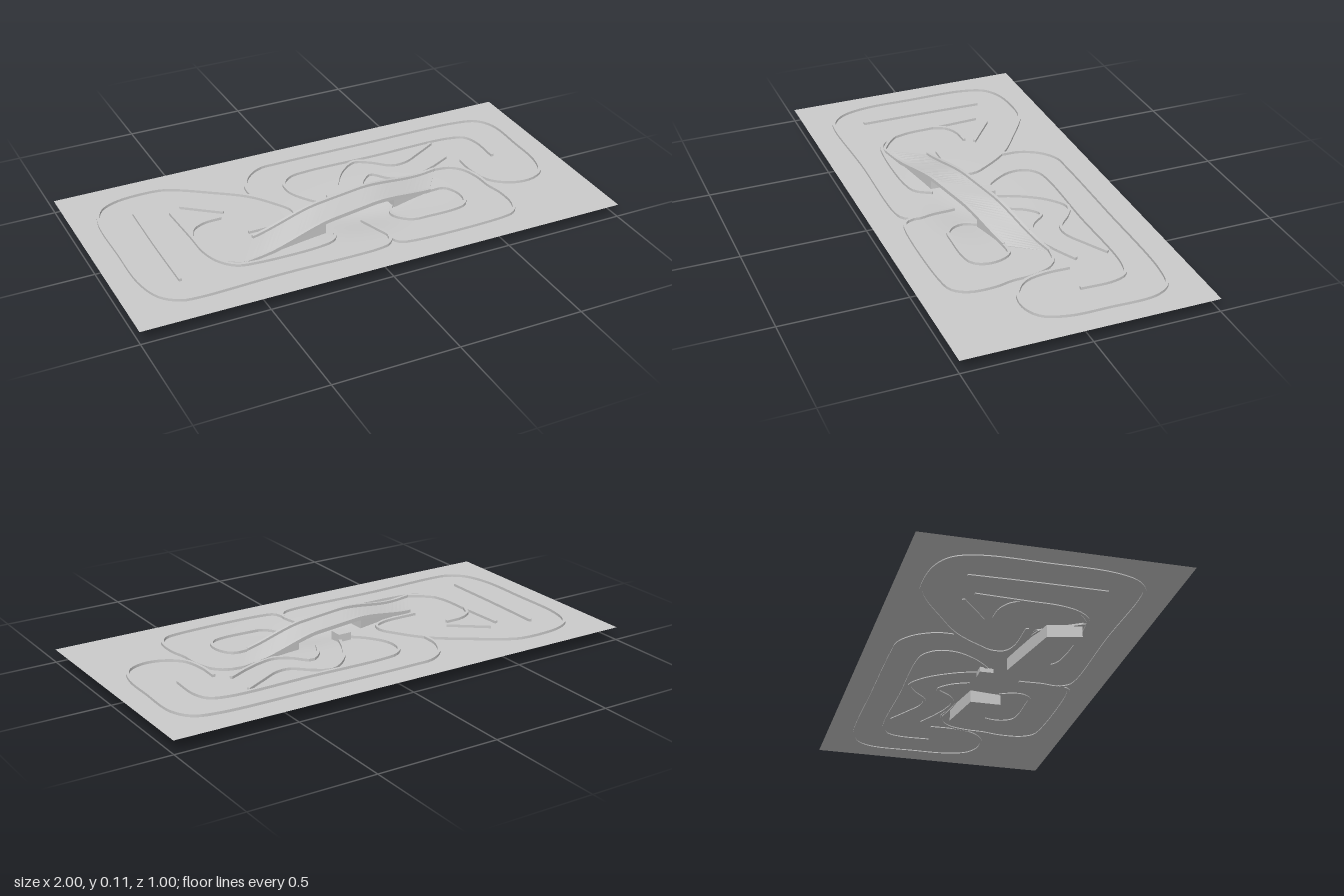
import * as THREE from 'three';

const GROUND = 0.053;
const mat = new THREE.MeshStandardMaterial({ color: 0xcccccc, flatShading: true, side: THREE.DoubleSide });

const smooth = (t) => { t = Math.min(1, Math.max(0, t)); return t * t * (3 - 2 * t); };
// Ground with a shallow hollow where the track dives under the bridge
const groundY = (x, z) => GROUND - 0.016 * Math.exp(-(((x - 0.07) / 0.17) ** 2) - ((z - 0.12) / 0.11) ** 2);
// Arched bridge deck
const deckY = (x) => GROUND + 0.044 * smooth((0.43 - Math.abs(x)) / 0.34);

// Closed solid through four-cornered rings: left-low, right-low, right-high, left-high
function loft(rings) {
  const pos = rings.flat(2), idx = [], n = rings.length;
  for (let i = 0; i < n - 1; i++) {
    for (let j = 0; j < 4; j++) {
      const a = i * 4 + j, b = i * 4 + (j + 1) % 4;
      idx.push(a, a + 4, b + 4, a, b + 4, b);
    }
  }
  const e = (n - 1) * 4;
  idx.push(0, 1, 2, 0, 2, 3, e, e + 2, e + 1, e, e + 3, e + 2);
  const g = new THREE.BufferGeometry();
  g.setAttribute('position', new THREE.Float32BufferAttribute(pos, 3));
  g.setIndex(idx);
  g.computeVertexNormals();
  return g;
}

// Low kerb following a plan path [x, z] over a height rule
function kerbGeometry(points, heightAt) {
  const curve = new THREE.CatmullRomCurve3(points.map(([x, z]) => new THREE.Vector3(x, 0, z)), false, 'centripetal');
  const n = Math.max(4, Math.round(curve.getLength() / 0.02)), w = 0.006;
  const rings = [];
  for (let i = 0; i <= n; i++) {
    const p = curve.getPointAt(i / n), t = curve.getTangentAt(i / n);
    const sx = -t.z * w, sz = t.x * w, y = heightAt(p.x, p.z);
    rings.push([
      [p.x - sx, y - 0.004, p.z - sz], [p.x + sx, y - 0.004, p.z + sz],
      [p.x + sx, y + 0.011, p.z + sz], [p.x - sx, y + 0.011, p.z - sz],
    ]);
  }
  return loft(rings);
}

const groundKerbs = {
  outerLeftKerb: [[-0.4, 0.06], [-0.24, 0.055], [-0.19, 0.03], [-0.18, -0.02], [-0.21, -0.08], [-0.29, -0.19],
    [-0.42, -0.29], [-0.54, -0.37], [-0.6, -0.393], [-0.78, -0.385], [-0.86, -0.34], [-0.895, -0.25], [-0.9, 0],
    [-0.895, 0.22], [-0.86, 0.33], [-0.8, 0.38], [-0.74, 0.39], [-0.4, 0.38], [0, 0.38], [0.05, 0.365],
    [0.075, 0.32], [0.06, 0.25], [0.04, 0.15]],
  outerRightKerb: [[-0.28, -0.18], [-0.275, -0.26], [-0.23, -0.34], [-0.16, -0.385], [-0.08, -0.39], [0.3, -0.39],
    [0.76, -0.385], [0.85, -0.36], [0.895, -0.29], [0.9, -0.1], [0.895, 0.05], [0.86, 0.14], [0.79, 0.175],
    [0.71, 0.165], [0.64, 0.11], [0.615, 0.02], [0.615, -0.08]],
  innerRightKerb: [[-0.03, 0.0], [-0.09, -0.07], [-0.13, -0.15], [-0.125, -0.22], [-0.08, -0.265], [0, -0.278],
    [0.3, -0.275], [0.66, -0.275], [0.73, -0.25], [0.755, -0.19], [0.755, -0.06]],
  upperChicaneKerb: [[0.02, -0.02], [0.06, -0.11], [0.13, -0.21], [0.21, -0.26], [0.27, -0.23], [0.34, -0.17],
    [0.4, -0.17], [0.48, -0.21], [0.57, -0.26]],
  lowerChicaneKerb: [[0.13, -0.03], [0.17, -0.1], [0.225, -0.14], [0.28, -0.08], [0.34, -0.05], [0.41, -0.06],
    [0.49, -0.09]],
  chicaneEndKerb: [[0.49, -0.09], [0.57, -0.13]],
  lowerRightKerb: [[0.48, -0.062], [0.54, -0.05], [0.585, -0.01], [0.61, 0.07], [0.615, 0.15], [0.63, 0.22],
    [0.625, 0.32], [0.59, 0.37], [0.53, 0.385], [0.14, 0.385], [0.09, 0.37], [0.07, 0.32]],
  hairpinKerb: [[0.19, 0.11], [0.165, 0.16], [0.18, 0.21], [0.22, 0.245], [0.28, 0.25], [0.4, 0.25],
    [0.45, 0.235], [0.475, 0.19], [0.47, 0.13], [0.44, 0.085], [0.38, 0.082]],
  innerLeftKerb: [[-0.62, -0.2], [-0.61, 0], [-0.605, 0.12], [-0.58, 0.2], [-0.53, 0.255], [-0.46, 0.27],
    [-0.2, 0.27], [-0.13, 0.25], [-0.095, 0.19]],
  cornerKerb: [[-0.59, 0.18], [-0.55, 0.22], [-0.5, 0.255]],
  hookKerb: [[-0.455, -0.085], [-0.53, -0.08], [-0.585, -0.05], [-0.61, 0.0]],
  shortKerb: [[-0.57, -0.23], [-0.5, -0.175], [-0.43, -0.12]],
  straightKerb: [[-0.75, -0.26], [-0.755, 0], [-0.755, 0.26]],
};

const bridgeKerbs = {
  bridgeBackKerb: [[-0.4, 0.1], [0.04, 0.018], [0.48, -0.062]],
  bridgeFrontKerb: [[-0.5, 0.255], [-0.06, 0.168], [0.38, 0.082]],
};

export function createModel() {
  const group = new THREE.Group();
  const add = (name, geometry) => {
    const mesh = new THREE.Mesh(geometry, mat);
    mesh.name = name;
    group.add(mesh);
    return mesh;
  };

  // Ground sheet, smooth over the hollow
  const sheet = new THREE.PlaneGeometry(2, 1, 80, 40).rotateX(-Math.PI / 2);
  const p = sheet.attributes.position;
  for (let i = 0; i < p.count; i++) p.setY(i, groundY(p.getX(i), p.getZ(i)));
  sheet.computeVertexNormals();
  const ground = add('ground', sheet);
  ground.material = new THREE.MeshStandardMaterial({ color: 0xcccccc, side: THREE.DoubleSide });

  // Kerbs on the ground and along the bridge
  for (const [name, pts] of Object.entries(groundKerbs)) add(name, kerbGeometry(pts, groundY));
  for (const [name, pts] of Object.entries(bridgeKerbs)) add(name, kerbGeometry(pts, (x) => deckY(x)));

  // Arched bridge deck, skewed between its two kerbs
  const deck = [];
  for (let i = 0; i <= 40; i++) {
    const t = i / 40;
    const xb = -0.4 + 0.88 * t, zb = 0.1 - 0.162 * t, xf = -0.5 + 0.88 * t, zf = 0.255 - 0.173 * t;
    deck.push([[xb, deckY(xb) - 0.008, zb], [xf, deckY(xf) - 0.008, zf], [xf, deckY(xf), zf], [xb, deckY(xb), zb]]);
  }
  add('bridgeDeck', loft(deck));

  // Abutments under both ends: start and end corners [x, z], back then front
  const abutment = (name, b0, f0, b1, f1) => {
    const rings = [];
    for (let i = 0; i <= 10; i++) {
      const mix = (a, b) => a + (b - a) * i / 10;
      const xb = mix(b0[0], b1[0]), zb = mix(b0[1], b1[1]), xf = mix(f0[0], f1[0]), zf = mix(f0[1], f1[1]);
      rings.push([[xb, 0, zb], [xf, 0, zf], [xf, deckY(xf) - 0.004, zf], [xb, deckY(xb) - 0.004, zb]]);
    }
    add(name, loft(rings));
  };
  abutment('rightAbutment', [-0.45, 0.12], [-0.48, 0.25], [-0.13, 0.055], [-0.13, 0.185]);
  abutment('leftAbutment', [0.2, -0.008], [0.2, 0.118], [0.41, -0.045], [0.37, 0.085]);

  // Small block at the centre
  add('centreBlock', new THREE.BoxGeometry(0.056, 0.052, 0.056)).position.set(0, 0.056, 0);

  return group;
}
